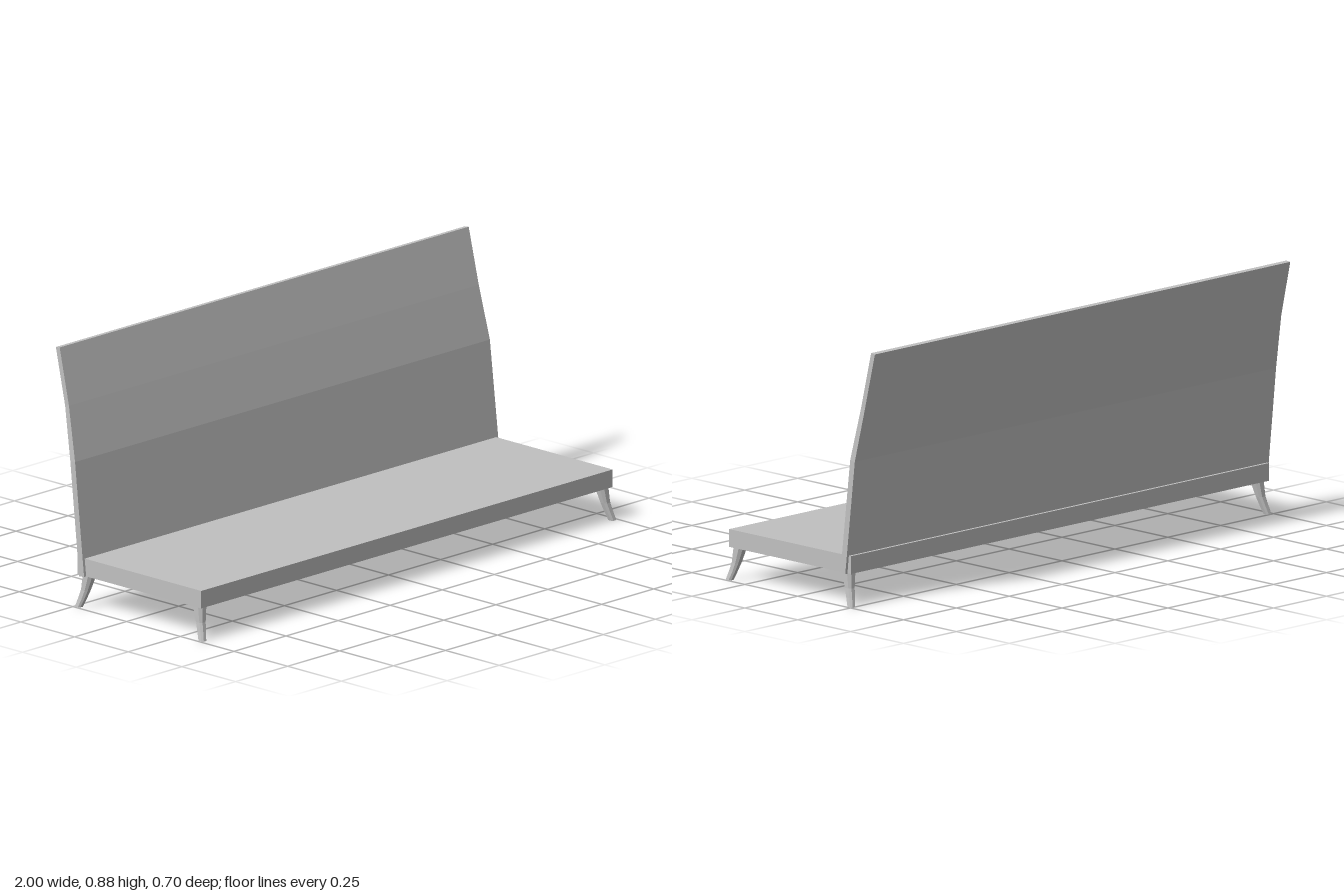
import * as THREE from 'three';

const grey = new THREE.MeshStandardMaterial({ color: 0xc0c0c0, flatShading: true, side: THREE.DoubleSide });
grey.name = 'light grey';

// Skin stacked rings of [x, y, z] points and close both ends
function loft(name, rings, flip = false) {
  const n = rings[0].length, index = [];
  const tri = (a, b, c) => index.push(...(flip ? [a, c, b] : [a, b, c]));
  for (let r = 0; r < rings.length - 1; r++) {
    for (let i = 0; i < n; i++) {
      const a = r * n + i, b = r * n + (i + 1) % n;
      tri(a, a + n, b);
      tri(b, a + n, b + n);
    }
  }
  const top = (rings.length - 1) * n;
  for (let i = 1; i < n - 1; i++) {
    tri(0, i, i + 1);
    tri(top, top + i + 1, top + i);
  }
  const geo = new THREE.BufferGeometry();
  geo.setAttribute('position', new THREE.Float32BufferAttribute(rings.flat(2), 3));
  geo.setIndex(index);
  const flat = geo.toNonIndexed();
  flat.computeVertexNormals();
  const mesh = new THREE.Mesh(flat, grey);
  mesh.name = name;
  return mesh;
}

// Flared leg: chamfered square section, sweeping outward to the foot
function leg(name, sx, sz) {
  // [y, x inner, x outer, z inner, z outer]
  const levels = [
    [0, 0.972, 0.996, 0.325, 0.35],
    [0.03, 0.964, 0.99, 0.313, 0.341],
    [0.06, 0.956, 0.986, 0.302, 0.333],
    [0.114, 0.945, 0.985, 0.284, 0.328],
  ];
  const rings = levels.map(([y, x0, x1, z0, z1]) => {
    const c = (x1 - x0) * 0.25;
    return [
      [x0 + c, z0], [x0, z0 + c], [x0, z1 - c], [x0 + c, z1],
      [x1 - c, z1], [x1, z1 - c], [x1, z0 + c], [x1 - c, z0],
    ].map(([x, z]) => [sx * x, y, sz > 0 ? z : 0.1 - z]);
  });
  return loft(name, rings, sx * sz > 0);
}

export function createModel() {
  const group = new THREE.Group();
  group.name = 'bench';

  // Seat: hollow tray turned upside down, open underneath
  const y0 = 0.113, y1 = 0.174, w = 0.988, zf = 0.336, zb = -0.24;
  const seatGeo = new THREE.BoxGeometry(2 * w, y1 - y0, zf - zb);
  const kept = seatGeo.groups.filter((g) => g.materialIndex !== 3);
  const source = Array.from(seatGeo.index.array);
  seatGeo.setIndex(kept.flatMap((g) => source.slice(g.start, g.start + g.count)));
  seatGeo.clearGroups();
  const seat = new THREE.Mesh(seatGeo, grey);
  seat.name = 'seat';
  seat.position.set(0, (y0 + y1) / 2, (zf + zb) / 2);
  group.add(seat);

  // Backrest: bent slab leaning back, [y, half width, front z, back z]
  const slab = [
    [0.113, 0.998, -0.2, -0.223],
    [0.505, 0.996, -0.244, -0.266],
    [0.69, 0.984, -0.284, -0.302],
    [0.884, 0.982, -0.329, -0.347],
  ];
  group.add(loft('backrest', slab.map(([y, hw, f, b]) => [
    [-hw, y, f], [hw, y, f], [hw, y - 0.002, b], [-hw, y - 0.002, b],
  ]), true));

  // Legs, one at each corner
  for (const sx of [1, -1]) {
    for (const sz of [1, -1]) {
      group.add(leg((sz > 0 ? 'front' : 'back') + (sx > 0 ? 'Left' : 'Right') + 'Leg', sx, sz));
    }
  }
  return group;
}
